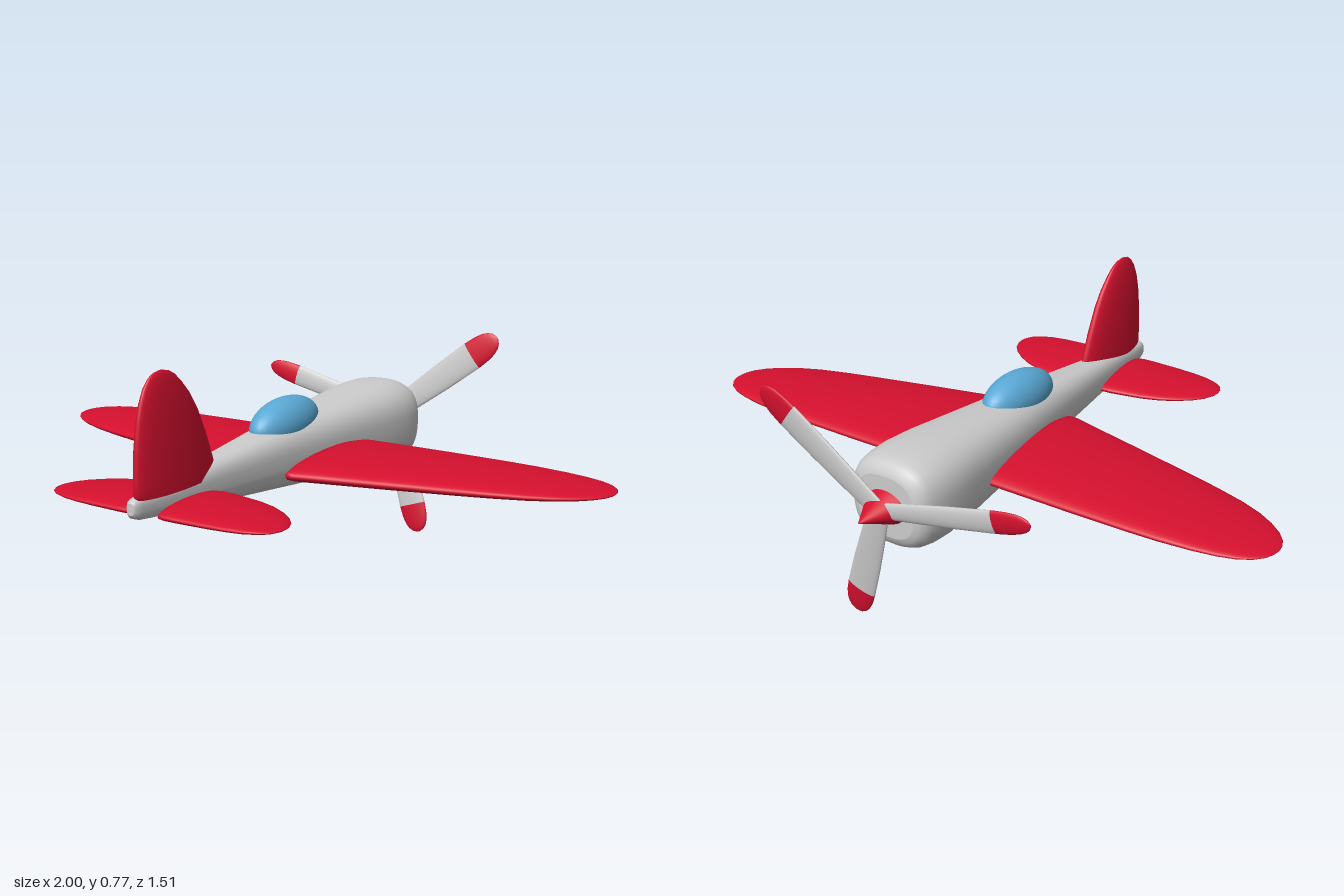
import * as THREE from 'three';

const GREY = 0xcccccc, RED = 0xd5102e, BLUE = 0x5aa9d6;
const V = (x, y, z) => new THREE.Vector3(x, y, z);

// Skin over superellipse sections [t, uMin, uMax, vMin, vMax] along local z, with flat end caps
function loft(sections, power = 2, n = 40) {
  const pos = [], idx = [];
  const bend = (c) => Math.sign(c) * Math.abs(c) ** (2 / power);
  const ring = ([t, u0, u1, v0, v1]) => {
    for (let i = 0; i < n; i++) {
      const a = (i / n) * Math.PI * 2;
      pos.push((u0 + u1) / 2 + bend(Math.cos(a)) * (u1 - u0) / 2,
        (v0 + v1) / 2 + bend(Math.sin(a)) * (v1 - v0) / 2, t);
    }
  };
  sections.forEach(ring);
  for (let j = 0; j < sections.length - 1; j++) {
    for (let i = 0; i < n; i++) {
      const a = j * n + i, b = j * n + (i + 1) % n;
      idx.push(a, b, b + n, a, b + n, a + n);
    }
  }
  for (const [s, end] of [[sections[0], false], [sections.at(-1), true]]) {
    const base = pos.length / 3;
    ring(s);
    pos.push((s[1] + s[2]) / 2, (s[3] + s[4]) / 2, s[0]);
    for (let i = 0; i < n; i++) {
      const a = base + i, b = base + (i + 1) % n;
      idx.push(...(end ? [a, b, base + n] : [b, a, base + n]));
    }
  }
  const g = new THREE.BufferGeometry();
  g.setAttribute('position', new THREE.Float32BufferAttribute(pos, 3));
  g.setIndex(idx);
  g.computeVertexNormals();
  return g;
}

// Turn local (u, v, t) into the given right-handed axes
const orient = (g, u, v, t) => g.applyMatrix4(new THREE.Matrix4().makeBasis(u, v, t));

function add(parent, name, geometry, color, x = 0, y = 0, z = 0) {
  const mesh = new THREE.Mesh(geometry, new THREE.MeshStandardMaterial({ color }));
  mesh.name = name;
  mesh.position.set(x, y, z);
  parent.add(mesh);
  return mesh;
}

// Left and right lens-section surfaces from a plan outline [x, leading z, trailing z]
function wingPair(parent, name, outline, half, y) {
  const span = outline.at(-1)[0];
  const sections = outline.map(([x, lead, trail], i) => {
    const h = (i ? 1 : 0.5) * half * Math.sqrt(Math.max(1 - (x / span) ** 2, 0.0004));
    return [x, -h, h, lead, trail];
  });
  for (const side of ['left', 'right']) {
    const g = orient(loft(sections), V(0, 1, 0), V(0, 0, 1), V(1, 0, 0));
    const m = add(parent, side + name, g, RED, 0, y, 0);
    if (side === 'right') m.rotation.z = Math.PI;
  }
}

export function createModel() {
  const plane = new THREE.Group();
  plane.name = 'airplane';

  // Fuselage: [z, half width, bottom, top]
  const cx = -0.012;
  const body = [
    [-0.64, 0.1, 0.315, 0.505], [-0.635, 0.117, 0.3, 0.523], [-0.622, 0.131, 0.284, 0.537],
    [-0.6, 0.141, 0.273, 0.546], [-0.56, 0.148, 0.267, 0.551], [-0.5, 0.152, 0.267, 0.552],
    [-0.4, 0.145, 0.274, 0.548], [-0.15, 0.117, 0.295, 0.528], [0.1, 0.088, 0.317, 0.508],
    [0.4, 0.055, 0.343, 0.477], [0.55, 0.039, 0.356, 0.458], [0.68, 0.027, 0.367, 0.442],
    [0.73, 0.023, 0.373, 0.438], [0.75, 0.019, 0.38, 0.433], [0.757, 0.012, 0.39, 0.425],
  ].map(([z, w, b, t]) => [z, cx - w, cx + w, b, t]);
  add(plane, 'fuselage', loft(body, 2.7, 48), GREY);

  // Canopy bubble
  const bubble = new THREE.SphereGeometry(1, 40, 24).scale(0.073, 0.08, 0.162);
  add(plane, 'canopy', bubble, BLUE, cx, 0.506, 0.008).rotation.x = 0.06;

  // Main wings and tailplanes
  wingPair(plane, 'Wing', [
    [0.095, -0.31, 0.165], [0.105, -0.325, 0.177], [0.125, -0.33, 0.178], [0.2, -0.33, 0.158],
    [0.4, -0.331, 0.107], [0.6, -0.33, 0.055], [0.7, -0.327, 0.028], [0.8, -0.318, -0.004],
    [0.87, -0.306, -0.035], [0.92, -0.291, -0.066], [0.96, -0.268, -0.1], [0.985, -0.24, -0.132],
    [0.996, -0.215, -0.158], [1, -0.192, -0.182],
  ], 0.04, 0.386);
  wingPair(plane, 'Tailplane', [
    [0.035, 0.44, 0.69], [0.042, 0.425, 0.708], [0.06, 0.417, 0.714], [0.1, 0.42, 0.715],
    [0.2, 0.44, 0.712], [0.26, 0.461, 0.708], [0.31, 0.49, 0.7], [0.35, 0.523, 0.685],
    [0.375, 0.553, 0.668], [0.39, 0.585, 0.643], [0.395, 0.607, 0.62],
  ], 0.025, 0.384);

  // Fin: [y, leading z, trailing z]
  const fin = [
    [0.43, 0.41, 0.74], [0.442, 0.395, 0.75], [0.48, 0.401, 0.75], [0.56, 0.432, 0.746],
    [0.64, 0.47, 0.735], [0.69, 0.503, 0.722], [0.73, 0.54, 0.704], [0.755, 0.569, 0.683],
    [0.767, 0.593, 0.664], [0.773, 0.623, 0.636],
  ].map(([y, lead, trail]) => {
    const h = 0.038 * Math.sqrt(Math.max(1 - ((y - 0.43) / 0.343) ** 2, 0.001));
    return [y, lead, trail, -h, h];
  });
  add(plane, 'fin', orient(loft(fin), V(0, 0, 1), V(1, 0, 0), V(0, 1, 0)), RED, -0.002);

  // Propeller: three blades with coloured tips, in a slightly tilted plane
  const propeller = new THREE.Group();
  propeller.name = 'propeller';
  propeller.position.set(cx, 0.41, -0.667);
  plane.add(propeller);
  const normal = V(0.035, 0.116, 1).normalize();
  for (const [x, y, halfWidth] of [[0.375, 0.295, 0.049], [-0.508, 0.12, 0.036], [0.142, -0.402, 0.049]]) {
    const dir = V(x, y, -(normal.x * x + normal.y * y) / normal.z);
    const length = dir.length();
    dir.normalize();
    const across = normal.clone().cross(dir);
    const part = (name, color, rows) => {
      const sections = rows.map(([t, w, h]) =>
        [t * length, -w * halfWidth, w * halfWidth, -h * 0.011, h * 0.011]);
      add(propeller, name, orient(loft(sections, 2, 24), across, normal, dir), color);
    };
    part('blade', GREY, [[0, 0.7, 0.9], [0.2, 0.82, 1], [0.5, 0.96, 1], [0.77, 1, 0.95]]);
    part('bladeTip', RED, [[0.77, 1, 0.95], [0.86, 0.95, 0.9], [0.92, 0.83, 0.8],
      [0.96, 0.65, 0.65], [0.985, 0.42, 0.45], [1, 0.1, 0.1]]);
  }

  // Spinner cone
  const cone = new THREE.ConeGeometry(0.07, 0.117, 32).rotateX(-Math.PI / 2).scale(1, 0.74, 1);
  add(plane, 'spinner', cone, RED, cx, 0.41, -0.6985);

  return plane;
}
